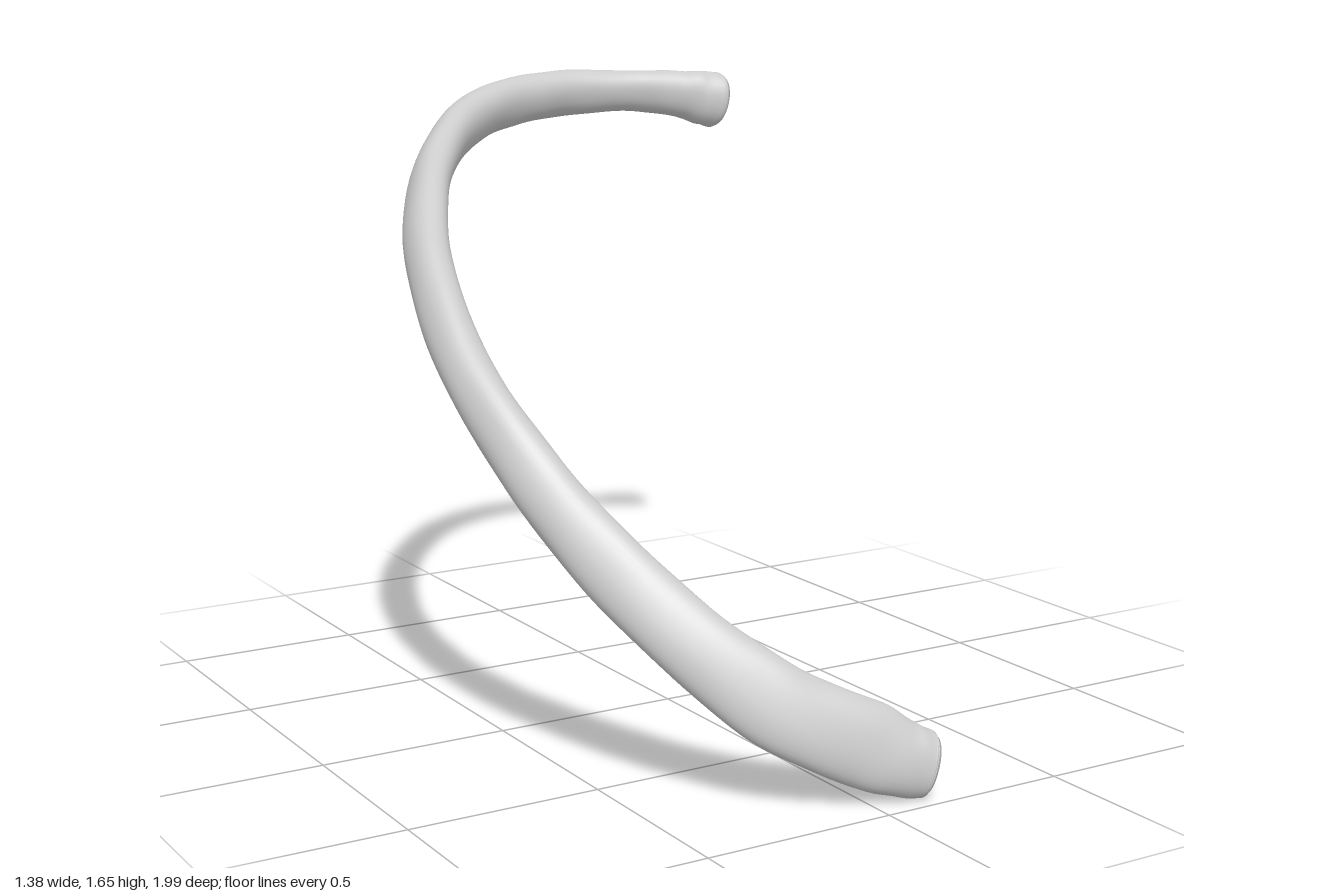
import * as THREE from 'three';

// Stations along the bone: centre x, y, z, half height, half thickness, inward lean (degrees)
const STATIONS = [
  [0.16, 0.085, 0.935, 0.08, 0.06, 8],
  [0.10, 0.105, 0.925, 0.092, 0.054, 10],
  [0.0, 0.155, 0.90, 0.106, 0.048, 14],
  [-0.19, 0.255, 0.825, 0.103, 0.046, 20],
  [-0.355, 0.41, 0.68, 0.092, 0.047, 28],
  [-0.50, 0.615, 0.465, 0.083, 0.049, 30],
  [-0.588, 0.80, 0.29, 0.073, 0.053, 28],
  [-0.627, 1.0, 0.06, 0.067, 0.055, 25],
  [-0.588, 1.205, -0.20, 0.069, 0.053, 25],
  [-0.475, 1.355, -0.45, 0.075, 0.053, 28],
  [-0.33, 1.46, -0.65, 0.077, 0.054, 22],
  [-0.15, 1.535, -0.82, 0.073, 0.057, 20],
  [0.02, 1.57, -0.907, 0.070, 0.058, 18],
  [0.2, 1.587, -0.94, 0.068, 0.057, 18],
  [0.4, 1.59, -0.91, 0.061, 0.047, 12],
  [0.55, 1.58, -0.872, 0.068, 0.049, 8],
  [0.62, 1.568, -0.855, 0.078, 0.054, 4],
  [0.665, 1.56, -0.846, 0.084, 0.062, 0],
];

const RINGS = 140, SIDES = 32;

function boneGeometry() {
  const path = new THREE.CatmullRomCurve3(STATIONS.map(s => new THREE.Vector3(s[0], s[1], s[2])));
  const sizes = new THREE.CatmullRomCurve3(
    STATIONS.map(s => new THREE.Vector3(s[3], s[4], s[5] / 100)), false, 'catmullrom');

  // Ring = position on path, scale, shift along path; the extra end rings form dimpled ends
  const rings = [[0, 0, 0.014], [0, 0.35, 0.010], [0, 0.7, 0], [0, 0.92, 0]];
  for (let i = 0; i <= RINGS; i++) rings.push([i / RINGS, 1, i === 0 ? 0.012 : i === RINGS ? 0.004 : 0]);
  rings.push([1, 0.93, 0.014], [1, 0.72, 0.008], [1, 0.4, -0.016], [1, 0, -0.026]);

  const positions = [], index = [];
  const up = new THREE.Vector3(0, 1, 0);
  for (const [t, scale, shift] of rings) {
    const tangent = path.getTangent(t);
    const size = sizes.getPoint(t);
    const lean = THREE.MathUtils.degToRad(size.z * 100);
    const w = up.clone().addScaledVector(tangent, -tangent.y).normalize();
    const n = tangent.clone().cross(w);
    const high = w.clone().multiplyScalar(Math.cos(lean)).addScaledVector(n, Math.sin(lean));
    const wide = tangent.clone().cross(high);
    const centre = path.getPoint(t).addScaledVector(tangent, shift);
    const slant = THREE.MathUtils.smoothstep(t, 0.96, 1) * 0.4;
    for (let j = 0; j < SIDES; j++) {
      const a = j / SIDES * Math.PI * 2;
      // gentle uneven bone surface
      const rough = 1 + 0.010 * Math.sin(t * 75 + 2 * a) + 0.008 * Math.sin(t * 131 - 3 * a);
      const h = Math.sign(Math.cos(a)) * Math.abs(Math.cos(a)) ** 0.92 * size.x * scale * rough;
      const b = Math.sign(Math.sin(a)) * Math.abs(Math.sin(a)) ** 0.92 * size.y * scale * rough;
      const p = centre.clone().addScaledVector(high, h).addScaledVector(wide, b)
        .addScaledVector(tangent, slant * b);
      positions.push(p.x, p.y, p.z);
    }
  }
  for (let i = 0; i < rings.length - 1; i++) {
    for (let j = 0; j < SIDES; j++) {
      const k = (j + 1) % SIDES;
      const a = i * SIDES + j, b = i * SIDES + k, c = a + SIDES, d = b + SIDES;
      if (i > 0) index.push(a, b, c);
      if (i < rings.length - 2) index.push(b, d, c);
      else index.push(a, b, c);
      if (i === 0) continue;
    }
  }
  const geometry = new THREE.BufferGeometry();
  geometry.setAttribute('position', new THREE.Float32BufferAttribute(positions, 3));
  geometry.setIndex(index);
  geometry.computeVertexNormals();
  return geometry;
}

export function createModel() {
  const group = new THREE.Group();
  group.name = 'rib';
  const bone = new THREE.MeshStandardMaterial({ color: 0xcccccc });
  bone.name = 'bone grey';
  const shaft = new THREE.Mesh(boneGeometry(), bone);
  shaft.name = 'ribBone';
  group.add(shaft);
  return group;
}
